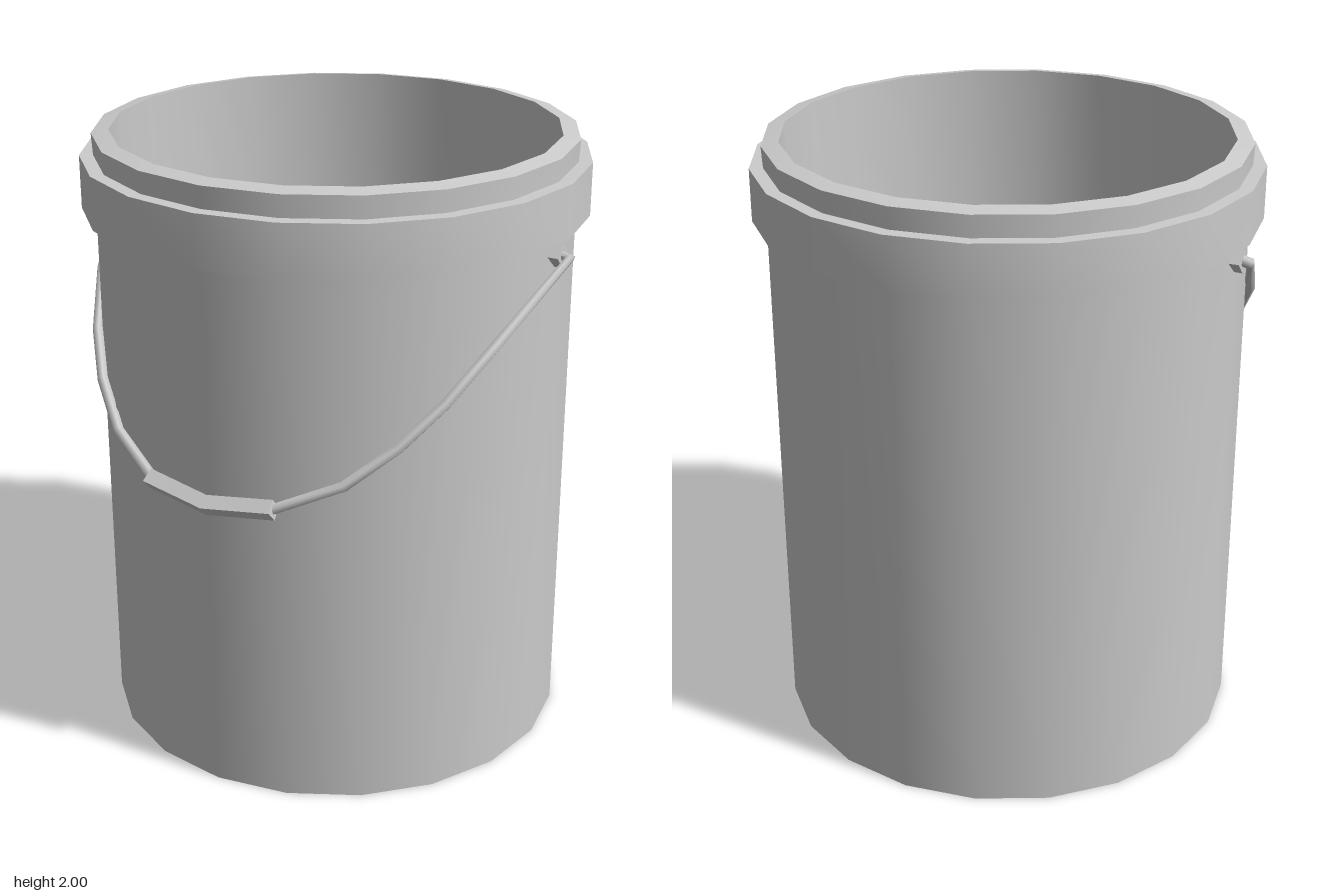
import * as THREE from 'three';
import { toCreasedNormals } from 'three/addons/utils/BufferGeometryUtils.js';

const SIDES = 20;
const material = new THREE.MeshStandardMaterial({ color: 0xcccccc });

function part(name, geometry, crease) {
  const mesh = new THREE.Mesh(toCreasedNormals(geometry, crease), material);
  mesh.name = name;
  return mesh;
}

function lathe(profile) {
  return new THREE.LatheGeometry(profile.map(([r, y]) => new THREE.Vector2(r, y)), SIDES);
}

// Sweeps a polygon along straight segments; rings are aligned to the tilted plane of the handle
function sweep(points, radius, sides, phase) {
  const planeNormal = new THREE.Vector3(0, 0.75, 0.66).normalize();
  const positions = [], index = [];
  const last = points.length - 1;
  points.forEach((p, i) => {
    const before = p.clone().sub(points[Math.max(i - 1, 0)]).normalize();
    const after = points[Math.min(i + 1, last)].clone().sub(p).normalize();
    const tangent = before.add(after).normalize();
    const side = tangent.clone().cross(planeNormal).normalize();
    const up = side.clone().cross(tangent);
    for (let j = 0; j < sides; j++) {
      const a = phase + (j / sides) * Math.PI * 2;
      const v = p.clone()
        .addScaledVector(side, Math.cos(a) * radius)
        .addScaledVector(up, Math.sin(a) * radius);
      positions.push(v.x, v.y, v.z);
      const k = (j + 1) % sides, r = i * sides;
      if (i < last) {
        index.push(r + j, r + sides + j, r + k);
        index.push(r + sides + j, r + sides + k, r + k);
      }
    }
  });
  for (let j = 1; j < sides - 1; j++) {
    index.push(0, j, j + 1);
    index.push(last * sides, last * sides + j + 1, last * sides + j);
  }
  const geometry = new THREE.BufferGeometry();
  geometry.setAttribute('position', new THREE.Float32BufferAttribute(positions, 3));
  geometry.setIndex(index);
  return geometry;
}

export function createModel() {
  const bucket = new THREE.Group();
  bucket.name = 'bucket';

  // Hollow body with a thick wall and slightly sloping lip
  const body = part('body', lathe([
    [0, 0], [0.765, 0], [0.765, 1.9], [0.77, 1.99], [0.715, 2], [0.715, 0.04], [0, 0.04],
  ]), 0.6);

  // Reinforcing band below the lip
  const collar = part('collar', lathe([
    [0.76, 1.75], [0.81, 1.75], [0.81, 1.92], [0.76, 1.92],
  ]), 0.6);
  body.position.z = collar.position.z = -0.005;
  bucket.add(body, collar);

  // Diamond-section pivots through the wall
  for (const s of [-1, 1]) {
    const pivot = part(s > 0 ? 'leftPivot' : 'rightPivot',
      new THREE.CylinderGeometry(0.04, 0.04, 0.09, 4).rotateZ(Math.PI / 2), 0.6);
    pivot.position.set(s * 0.747, 1.695, -0.003);
    bucket.add(pivot);
  }

  // Wire handle hanging against the front of the body
  const half = [
    [0.77, 1.697, 0], [0.815, 1.69, 0], [0.72, 1.49, 0.3], [0.635, 1.34, 0.45],
    [0.54, 1.22, 0.56], [0.41, 1.105, 0.66], [0.22, 1.022, 0.75],
  ].map((p) => new THREE.Vector3(...p));
  const mirrored = half.map((p) => new THREE.Vector3(-p.x, p.y, p.z)).reverse();
  const middle = new THREE.Vector3(0, 0.995, 0.78);
  bucket.add(part('handleWire', sweep([...half, middle, ...mirrored], 0.018, 6, 0), 1.2));

  // Square grip around the middle of the wire
  const gripEnd = new THREE.Vector3(0.225, 1.022, 0.755);
  const gripStart = new THREE.Vector3(-0.225, 1.022, 0.755);
  bucket.add(part('handleGrip', sweep([gripEnd, middle, gripStart], 0.033, 4, Math.PI / 4), 0.6));

  return bucket;
}
